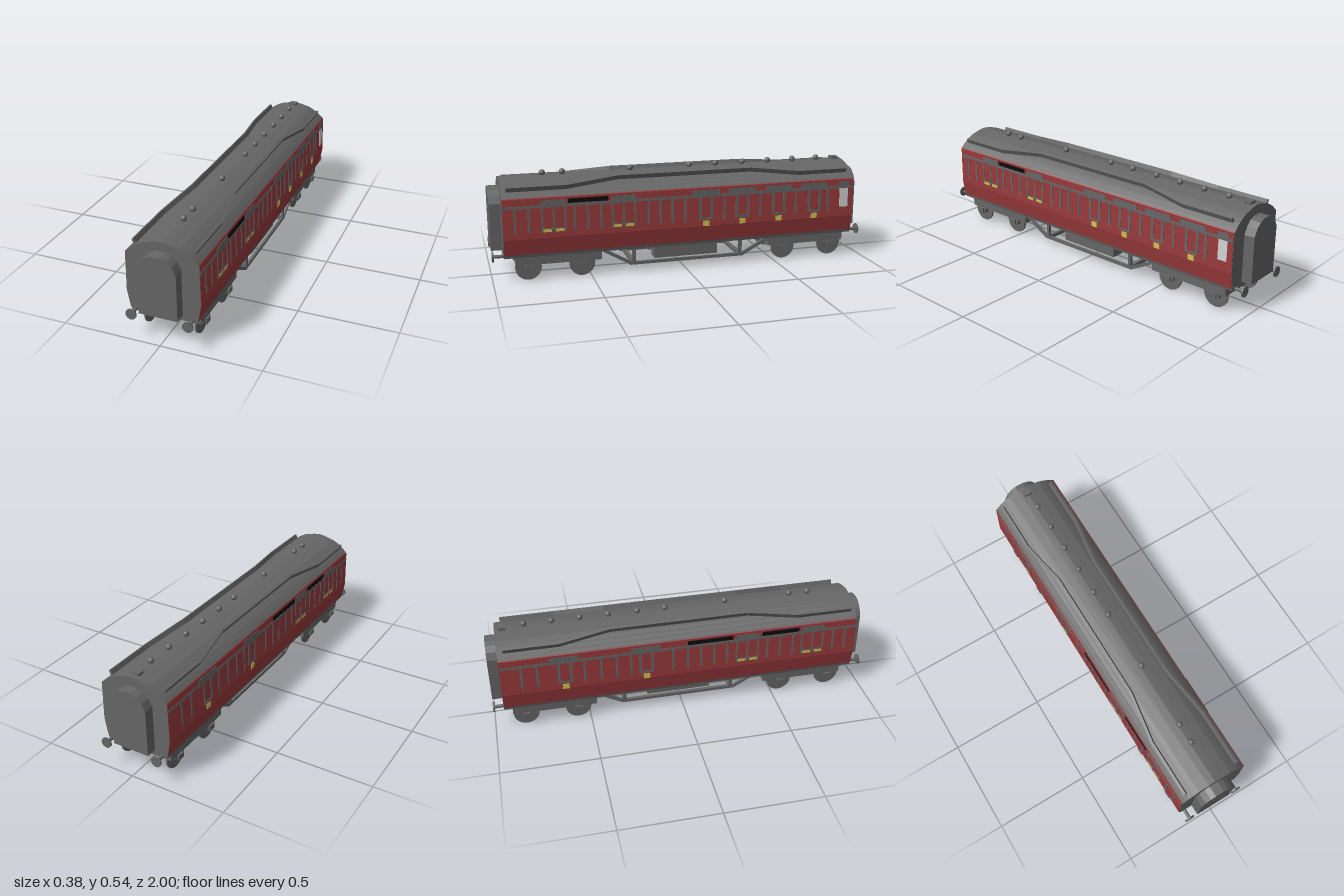
import * as THREE from 'three';

const mat = (name, color) => Object.assign(new THREE.MeshStandardMaterial({ color }), { name });

export function createModel() {
  const grey = mat('grey', 0x666666), red = mat('maroon', 0x993a3c);
  const yellow = mat('yellow', 0xd0c050), black = mat('black', 0x0c0c0c), pale = mat('pale', 0xd2d2d2);
  const root = new THREE.Group();
  root.name = 'railwayCarriage';

  const add = (name, geo, material, x = 0, y = 0, z = 0) => {
    const m = new THREE.Mesh(geo, material);
    m.name = name;
    m.position.set(x, y, z);
    root.add(m);
    return m;
  };
  // box given by its minimum and maximum corners
  const box = (name, material, x0, x1, y0, y1, z0, z1) =>
    add(name, new THREE.BoxGeometry(x1 - x0, y1 - y0, z1 - z0), material, (x0 + x1) / 2, (y0 + y1) / 2, (z0 + z1) / 2);
  // cross-section in x, y extruded along z
  const extrude = (name, pts, z0, z1, material) => {
    const shape = new THREE.Shape(pts.map(p => new THREE.Vector2(p[0], p[1])));
    return add(name, new THREE.ExtrudeGeometry(shape, { depth: z1 - z0, bevelEnabled: false }), material, 0, 0, z0);
  };
  // rectangular bar between two points lying in a plane of constant x
  const strut = (name, x, w, t, y0, z0, y1, z1) => {
    const m = add(name, new THREE.BoxGeometry(w, t, Math.hypot(y1 - y0, z1 - z0)), grey, x, (y0 + y1) / 2, (z0 + z1) / 2);
    m.rotation.x = -Math.atan2(y1 - y0, z1 - z0);
    return m;
  };

  // body shell with domed roof
  const half = [[0.165, 0.128], [0.17, 0.149], [0.185, 0.228], [0.181, 0.432], [0.163, 0.45], [0.143, 0.467],
    [0.118, 0.483], [0.09, 0.497], [0.035, 0.511]];
  const mirrored = half.map(([x, y]) => [-x, y]).reverse();
  extrude('bodyShell', [...half, [0, 0.516], ...mirrored], -0.946, 0.943, grey);

  // painted side panels
  for (const s of [1, -1]) {
    const skin = [[0.166, 0.145], [0.1715, 0.145], [0.1865, 0.228], [0.1825, 0.432], [0.179, 0.436], [0.176, 0.432], [0.18, 0.228]];
    extrude('sidePanel', skin.map(([x, y]) => [s * x, y]), -0.945, 0.942, red);
  }

  // end gangways
  const arch = [[-0.1, 0.155], [0.094, 0.155], [0.094, 0.395], [0.075, 0.432], [0.048, 0.456], [0.02, 0.467],
    [-0.026, 0.467], [-0.054, 0.456], [-0.081, 0.432], [-0.1, 0.395]];
  extrude('frontGangway', arch, 0.94, 1, grey);
  extrude('rearGangway', arch, -1, -0.94, grey);

  // thin plate on a body side
  const plate = (name, s, z0, z1, y0, y1, material, out = 0.0025) => {
    const y = (y0 + y1) / 2;
    const x = 0.1865 - 0.0196 * (y - 0.228) + out - 0.003;
    const m = add(name, new THREE.BoxGeometry(0.006, y1 - y0, Math.abs(z1 - z0)), material, s * x, y, (z0 + z1) / 2);
    m.rotation.z = s * 0.0196;
  };
  const door = (s, z) => {
    for (const d of [-0.031, 0.031]) plate('doorPillar', s, z + d - 0.007, z + d + 0.007, 0.262, 0.385, grey);
    plate('doorSill', s, z - 0.031, z + 0.031, 0.262, 0.274, grey);
    plate('doorHeader', s, z - 0.075, z + 0.075, 0.382, 0.42, grey);
    plate('doorHandle', s, z - 0.017, z + 0.017, 0.228, 0.256, yellow, 0.003);
  };
  const windowPair = (s, z) => {
    for (const d of [-0.058, 0, 0.058]) plate('windowPillar', s, z + d - 0.005, z + d + 0.005, 0.255, 0.385, grey);
    plate('windowSill', s, z - 0.058, z + 0.058, 0.27, 0.278, grey);
    plate('windowHeader', s, z - 0.062, z + 0.062, 0.385, 0.42, grey);
    for (const d of [-0.03, 0.034]) plate('windowLabel', s, z + d - 0.021, z + d + 0.021, 0.258, 0.273, yellow, 0.003);
  };
  const sides = [
    { s: 1, doors: [-0.104, -0.306, -0.512, -0.717], pairs: [0.69, 0.333], bars: [[0.413, 0.617]],
      pillars: [0.882, 0.815, 0.585, 0.518, 0.45, 0.205, 0.14, 0.076, 0.006, -0.205, -0.407, -0.61, -0.797] },
    { s: -1, doors: [-0.2, -0.62], pairs: [0.34, 0.7], bars: [[0.02, 0.26], [0.42, 0.62]],
      pillars: [-0.84, -0.76, -0.52, -0.435, -0.355, -0.28, -0.06, 0.02, 0.09, 0.16, 0.23, 0.45, 0.52, 0.59, 0.815, 0.882] },
  ];
  for (const { s, doors, pairs, bars, pillars } of sides) {
    plate('waistBand', s, -0.942, 0.94, 0.383, 0.397, grey, 0.002);
    doors.forEach(z => door(s, z));
    pairs.forEach(z => windowPair(s, z));
    bars.forEach(([a, b]) => plate('destinationBoard', s, a, b, 0.4, 0.422, black, 0.004));
    pillars.forEach(z => plate('pillar', s, z - 0.006, z + 0.006, 0.258, 0.397, grey));
  }
  plate('endHeader', 1, -0.92, -0.86, 0.383, 0.42, grey);
  plate('palePane', 1, -0.915, -0.866, 0.28, 0.383, pale, 0.003);

  // cranked rain strips standing out of the roof
  const path = [[0.15, 0.467, 0.917], [0.15, 0.467, 0.617], [0.109, 0.492, 0.35], [0.109, 0.492, -0.375],
    [0.15, 0.467, -0.634], [0.15, 0.467, -0.915]];
  const section = [[0, -0.004], [0.01, 0.019], [-0.002, 0.025], [-0.012, 0.002]]; // offsets in x, y
  for (const s of [1, -1]) {
    const pos = [], idx = [], n = 4, last = (path.length - 1) * n;
    for (const [x, y, z] of path) for (const [dx, dy] of section) pos.push(s * (x + dx), y + dy, z);
    const quad = (a, b, c, d) => (s > 0 ? idx.push(a, b, c, a, c, d) : idx.push(a, c, b, a, d, c));
    for (let i = 0; i < path.length - 1; i++)
      for (let j = 0; j < n; j++) {
        const k = (j + 1) % n;
        quad(i * n + j, i * n + n + j, i * n + n + k, i * n + k);
      }
    quad(0, 1, 2, 3);
    quad(last + 3, last + 2, last + 1, last);
    let geo = new THREE.BufferGeometry();
    geo.setAttribute('position', new THREE.Float32BufferAttribute(pos, 3));
    geo.setIndex(idx);
    geo = geo.toNonIndexed();
    geo.computeVertexNormals();
    add('rainStrip', geo, grey);
  }

  // roof ventilators and hatch
  for (const z of [0.72, 0.617, 0.26, -0.063, -0.21, -0.363, -0.51, -0.655, -0.797])
    add('roofVent', new THREE.SphereGeometry(0.016, 16, 12), grey, 0.007, 0.525, z);
  box('roofHatch', grey, -0.019, 0.021, 0.505, 0.528, -0.925, -0.888);

  // buffers at both ends
  for (const e of [1, -1]) for (const s of [1, -1]) {
    const head = add('bufferHead', new THREE.CylinderGeometry(0.027, 0.027, 0.008, 24), grey, s * 0.142, 0.137, e * 0.996);
    const shank = add('bufferShank', new THREE.CylinderGeometry(0.009, 0.009, 0.06, 12), grey, s * 0.142, 0.137, e * 0.965);
    head.rotation.x = shank.rotation.x = Math.PI / 2;
  }

  // bogies, wheels and axle boxes
  for (const [z0, z1, axles] of [[0.446, 0.885, [0.82, 0.545]], [-0.903, -0.465, [-0.561, -0.834]]]) {
    box('bogieFrame', grey, -0.158, 0.158, 0.084, 0.13, z0, z1);
    for (const z of axles) for (const s of [1, -1]) {
      const wheel = add('wheel', new THREE.CylinderGeometry(0.067, 0.067, 0.01, 32), grey, s * 0.13, 0.067, z);
      const hub = add('axleHub', new THREE.CylinderGeometry(0.036, 0.036, 0.024, 20), grey, s * 0.146, 0.081, z);
      wheel.rotation.z = hub.rotation.z = Math.PI / 2;
      add('axleBox', new THREE.BoxGeometry(0.014, 0.028, 0.04), grey, s * 0.16, 0.071, z);
    }
  }

  // underframe trusses, cross beams and equipment boxes
  for (const [x, w] of [[-0.112, 0.016], [0.143, 0.014]]) {
    strut('trussBottom', x, w, 0.016, 0.045, -0.325, 0.045, 0.295);
    strut('trussDiagonal', x, w, 0.016, 0.045, 0.29, 0.13, 0.44);
    strut('trussDiagonal', x, w, 0.016, 0.045, -0.32, 0.13, -0.48);
    for (const z of [0.275, -0.31]) box('trussPost', grey, x - w / 2, x + w / 2, 0.04, 0.13, z - 0.009, z + 0.009);
  }
  for (const z of [0.275, -0.31]) box('crossBeam', grey, -0.112, 0.143, 0.037, 0.056, z - 0.01, z + 0.01);
  box('equipmentBox', grey, -0.1, -0.028, 0.057, 0.13, -0.185, 0.16);
  box('equipmentBox', grey, 0.06, 0.129, 0.057, 0.13, -0.185, 0.16);

  return root;
}
